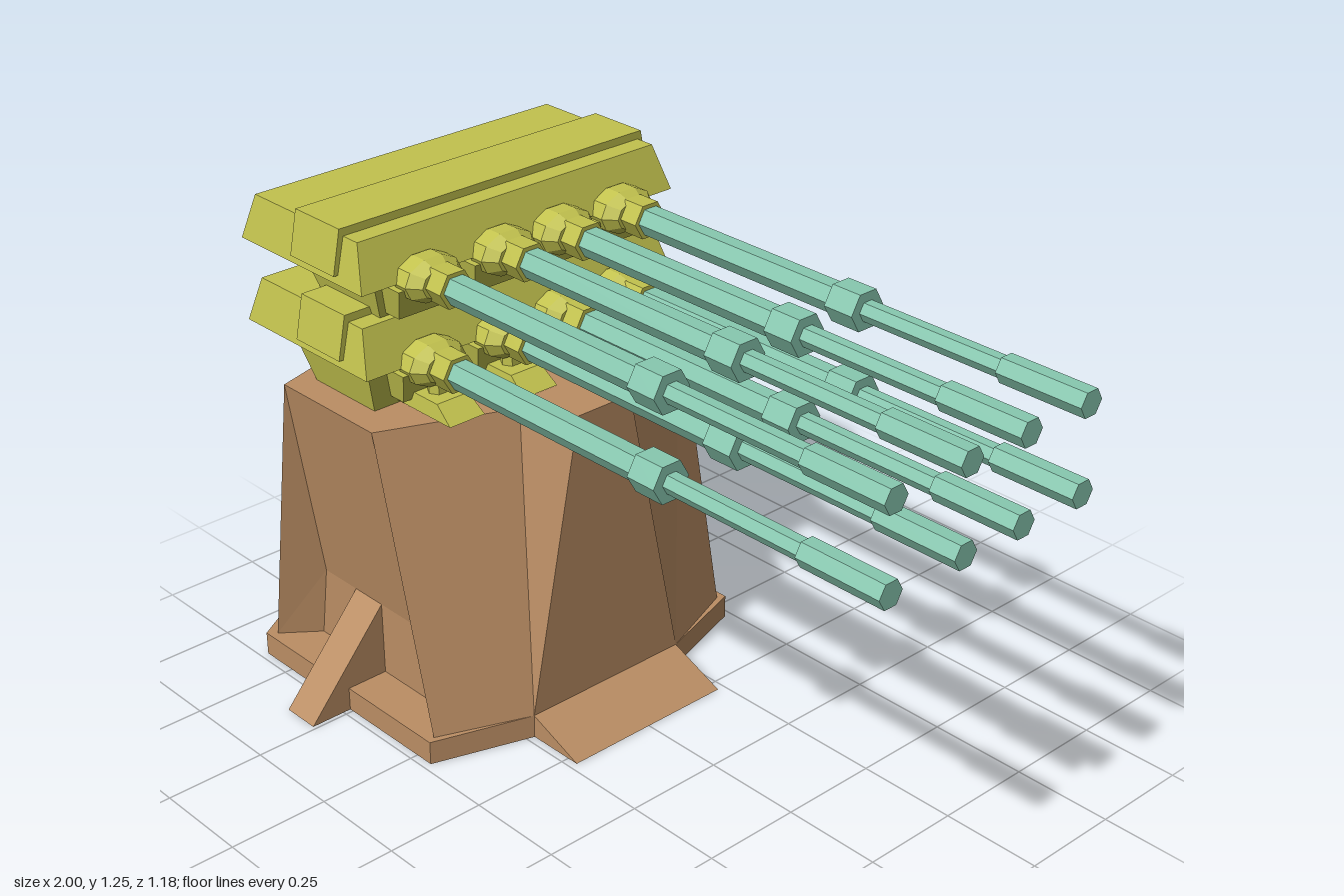
import * as THREE from 'three';

const mat = (name, color, side = THREE.FrontSide) => {
  const m = new THREE.MeshStandardMaterial({ color, side, flatShading: true });
  m.name = name;
  return m;
};

// Flat-faced solid from polygons, each turned to face away from the centre
function solid(polys, centre) {
  const pos = [];
  const mid = new THREE.Vector3(...centre);
  for (const poly of polys) {
    let p = poly.map(v => new THREE.Vector3(...v));
    const c = p.reduce((s, v) => s.add(v), new THREE.Vector3()).divideScalar(p.length);
    const n = p[1].clone().sub(p[0]).cross(p[2].clone().sub(p[0]));
    if (n.dot(c.sub(mid)) < 0) p.reverse();
    for (let i = 1; i < p.length - 1; i++)
      for (const v of [p[0], p[i], p[i + 1]]) pos.push(v.x, v.y, v.z);
  }
  const g = new THREE.BufferGeometry();
  g.setAttribute('position', new THREE.Float32BufferAttribute(pos, 3));
  g.computeVertexNormals();
  return g;
}

// Solid between two rings of [x, z] at heights y0 and y1
function loft(r0, y0, r1, y1) {
  const a = r0.map(([x, z]) => [x, y0, z]), b = r1.map(([x, z]) => [x, y1, z]);
  const polys = [a, b];
  a.forEach((v, i) => {
    const j = (i + 1) % a.length;
    polys.push([v, a[j], b[j], b[i]]);
  });
  const all = [...a, ...b];
  const centre = [0, 1, 2].map(k => all.reduce((s, v) => s + v[k], 0) / all.length);
  return solid(polys, centre);
}
const rect = (x0, x1, z, c = 0) => [[x0, c - z], [x1, c - z], [x1, c + z], [x0, c + z]];

export function createModel() {
  const model = new THREE.Group();
  const brown = mat('towerBrown', 0xbb8e64, THREE.DoubleSide);
  const yellow = mat('housingYellow', 0xc2c24e);
  const teal = mat('barrelTeal', 0x88c8b0);

  const add = (parent, name, geo, material) => {
    const m = new THREE.Mesh(geo, material);
    m.name = name;
    parent.add(m);
    return m;
  };

  // Octagonal plinth and the front ramp
  const plinth = [[-1, 0.23], [-0.85, 0.48], [-0.2, 0.48], [-0.12, 0.23],
    [-0.12, -0.23], [-0.2, -0.48], [-0.85, -0.48], [-1, -0.23]];
  add(model, 'plinth', loft(plinth, 0, plinth, 0.06), brown);
  add(model, 'frontRamp', loft(rect(-0.13, 0.03, 0.23), 0, rect(-0.13, -0.12, 0.23), 0.06), brown);

  // Tower: faceted walls, mirrored in z, with a recess low in each side
  const walls = [];
  const topRing = [[-0.8, 0.13], [-0.7, 0.47], [-0.37, 0.47], [-0.24, 0.15], [-0.12, 0.08]];
  const lowRing = [[-0.97, 0.22], [-0.83, 0.46], [-0.21, 0.46], [-0.12, 0.23]];
  for (const s of [1, -1]) {
    const T = topRing.map(([x, z]) => [x, 0.8, z * s]);
    const B = lowRing.map(([x, z]) => [x, 0.06, z * s]);
    const c0 = [-0.73, 0.25, 0.37 * s], c1 = [-0.33, 0.25, 0.37 * s];
    const d0 = [-0.76, 0.06, 0.37 * s], d1 = [-0.275, 0.06, 0.37 * s];
    walls.push(
      [T[0], T[1], B[1]], [T[0], B[1], B[0]],
      [T[2], T[3], B[3]], [T[2], B[3], B[2]],
      [T[3], T[4], B[3]],
      [T[1], T[2], c1, c0], [c0, c1, d1, d0],
      [T[1], B[1], c0], [B[1], d0, c0],
      [T[2], B[2], c1], [B[2], d1, c1]);
  }
  const both = ([x, z], y) => [[x, y, z], [x, y, -z]];
  const endWall = (t, b) => [...both(t, 0.8), ...both(b, 0.06).reverse()];
  walls.push(endWall(topRing[0], lowRing[0]), endWall(topRing[4], lowRing[3]));
  walls.push([...topRing, ...topRing.map(([x, z]) => [x, -z]).reverse()].map(([x, z]) => [x, 0.8, z]));
  add(model, 'tower', solid(walls, [-0.53, 0.4, 0]), brown);

  // Sloping buttress in each recess
  for (const s of [1, -1]) {
    const foot = [[-0.61, 0.36 * s], [-0.51, 0.36 * s], [-0.51, 0.59 * s], [-0.61, 0.59 * s]];
    const head = foot.map(([x], i) => [x, (i < 2 ? 0.36 : 0.37) * s]);
    add(model, 'buttress', loft(foot, 0, head, 0.25), brown);
  }

  // Hexagonal or faceted drum along x
  const drum = (x0, x1, r0, r1, sides) =>
    new THREE.CylinderGeometry(r1, r0, x1 - x0, sides).rotateZ(-Math.PI / 2).translate((x0 + x1) / 2, 0, 0);

  // Two stacked tiers of four guns
  const gunZ = [0.285, 0.07, -0.105, -0.29];
  [0.915, 1.12].forEach((y, tier) => {
    const t = new THREE.Group();
    t.name = tier ? 'upperTier' : 'lowerTier';
    model.add(t);

    const w = tier ? 0.38 : 0.41, bottom = tier ? 1.02 : 0.8;
    add(t, 'pedestal', loft(rect(-0.67, -0.45, w - 0.01), bottom, rect(-0.71, -0.43, w + 0.02), y + 0.01), yellow);
    add(t, 'housing', loft(rect(-0.84, -0.39, 0.46), y, rect(-0.81, -0.43, 0.435), y + 0.107), yellow);
    add(t, 'housingRidge', loft(rect(-0.64, -0.48, 0.467), y + 0.02, rect(-0.64, -0.48, 0.445), y + 0.126), yellow);

    for (const z of gunZ) {
      const g = new THREE.Group();
      g.name = 'gun';
      g.position.set(0, y, z);
      t.add(g);
      // Mount: cradle, oval collar and breech
      add(g, 'cradle', loft(rect(-0.46, -0.4, 0.07), -0.09, rect(-0.46, -0.37, 0.09), -0.01), yellow);
      add(g, 'collarBack', drum(-0.44, -0.4, 0.05, 0.08, 10).scale(1, 0.68, 1), yellow);
      add(g, 'collar', drum(-0.4, -0.36, 0.08, 0.08, 10).scale(1, 0.68, 1), yellow);
      add(g, 'collarFront', drum(-0.36, -0.33, 0.08, 0.055, 10).scale(1, 0.68, 1), yellow);
      add(g, 'breech', drum(-0.34, -0.28, 0.047, 0.047, 6), yellow);
      // Stepped barrel
      add(g, 'barrel', drum(-0.29, 0.33, 0.036, 0.036, 6), teal);
      add(g, 'barrelCollar', drum(0.32, 0.4, 0.05, 0.05, 6), teal);
      add(g, 'barrelTip', drum(0.4, 0.79, 0.025, 0.025, 6), teal);
      add(g, 'muzzle', drum(0.78, 1, 0.033, 0.033, 6), teal);
      // Feet and posts that carry the lower row
      if (!tier) {
        add(g, 'foot', loft(rect(-0.45, -0.26, 0.05), -0.108, rect(-0.43, -0.31, 0.045), -0.07), yellow);
        const post = new THREE.CylinderGeometry(0.024, 0.024, 0.09, 6).translate(-0.365, -0.05, 0);
        add(g, 'post', post, yellow);
        add(g, 'crossPin', drum(-0.41, -0.32, 0.016, 0.016, 6).translate(0, -0.035, 0), yellow);
      }
    }
  });
  return model;
}
